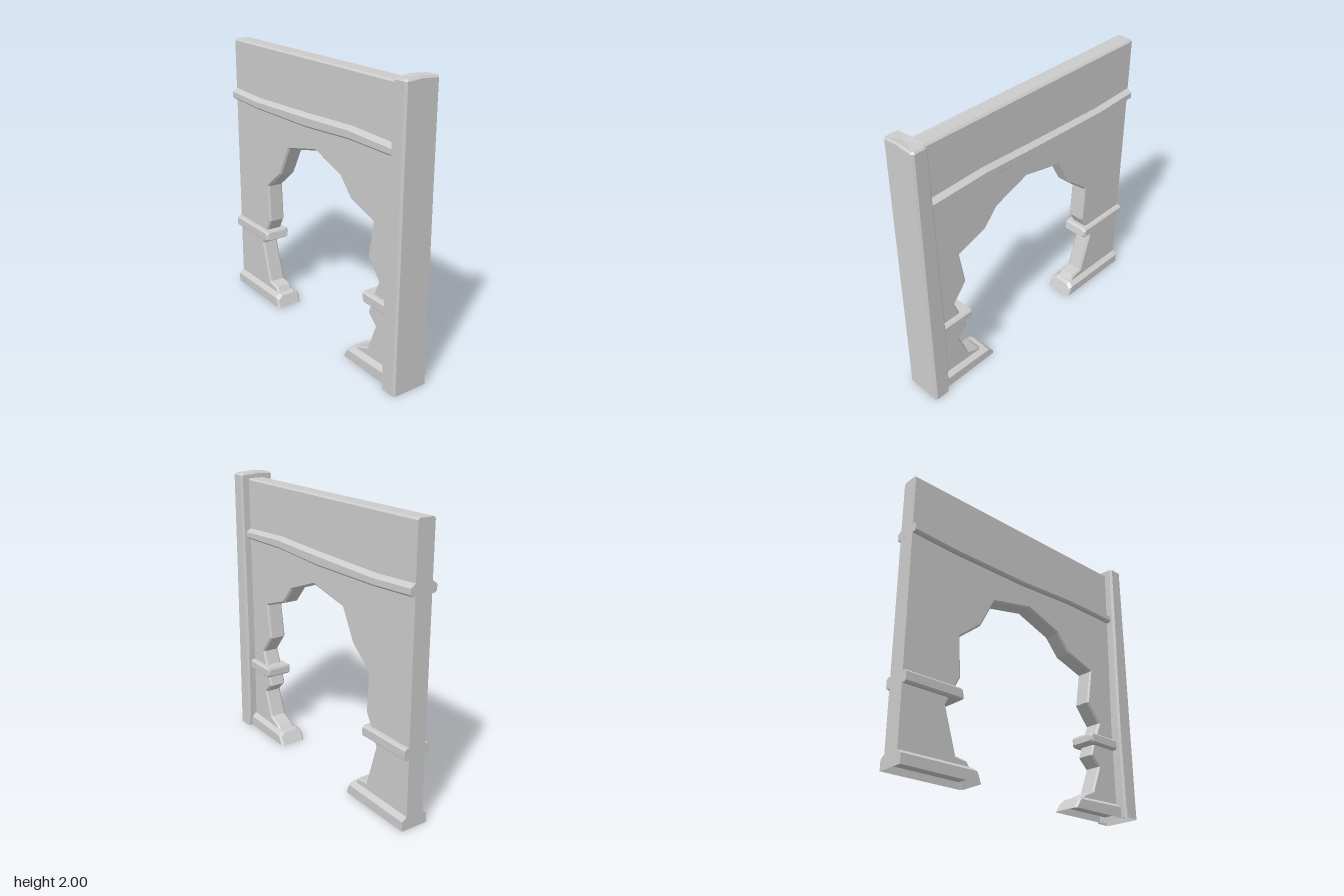
import * as THREE from 'three';

const material = new THREE.MeshStandardMaterial({ color: 0xcccccc, flatShading: true, side: THREE.DoubleSide });

// Skin rings of [x, y, z] points; rings run counter-clockwise seen from the far end
function loft(rings, { capStart = true, capEnd = true, closed = true } = {}) {
  const pos = [];
  const tri = (...pts) => pts.forEach((p) => pos.push(...p));
  const n = rings[0].length;
  for (let i = 0; i < rings.length - 1; i++) {
    for (let j = 0; j < (closed ? n : n - 1); j++) {
      const k = (j + 1) % n;
      const a = rings[i][j], b = rings[i][k], c = rings[i + 1][k], d = rings[i + 1][j];
      tri(a, b, c);
      tri(a, c, d);
    }
  }
  const cap = (ring, flip) => {
    const mid = [0, 1, 2].map((q) => ring.reduce((s, p) => s + p[q], 0) / n);
    ring.forEach((p, j) => {
      const next = ring[(j + 1) % n];
      flip ? tri(mid, next, p) : tri(mid, p, next);
    });
  };
  if (capStart) cap(rings[0], true);
  if (capEnd) cap(rings[rings.length - 1], false);
  const geo = new THREE.BufferGeometry();
  geo.setAttribute('position', new THREE.Float32BufferAttribute(pos, 3));
  geo.computeVertexNormals();
  return geo;
}

// Moulding along x; stations are [xBottom, xTop, yBottom, yTop, inset]
function moulding(stations, { topH, topD, low, open = false }) {
  const rings = stations.map(([xb, xt, yb, yt, inset = 0]) => {
    const zb = -0.105 + inset, zf = 0.092 - inset;
    const profile = [
      [yb + low, zb], [yt - topH, zb], [yt, zb + topD], [yt, zf - topD],
      [yt - topH, zf], [yb + low, zf],
    ];
    if (!open) profile.push([yb, zf - low], [yb, zb + low]);
    return profile.map(([y, z]) => [xb + (xt - xb) * (y - yb) / (yt - yb), y, z]);
  });
  return loft(rings, { closed: !open });
}

// Wall slab with the broken archway cut up from the floor
function wallGeometry() {
  const outline = [
    [-0.99, 0.03], [-0.46, 0.03], [-0.46, 0.09], [-0.49, 0.132], [-0.575, 0.145],
    [-0.665, 0.44], [-0.63, 0.51], [-0.605, 0.565], [-0.56, 0.65], [-0.575, 0.925],
    [-0.41, 1.06], [-0.295, 1.28], [0.03, 1.35], [0.305, 1.25], [0.415, 1.125],
    [0.64, 1.05], [0.6, 0.8], [0.71, 0.665], [0.67, 0.565], [0.645, 0.5],
    [0.615, 0.41], [0.69, 0.34], [0.62, 0.155], [0.53, 0.115], [0.5, 0.09],
    [0.5, 0.03], [0.9, 0.03], [0.9, 1.957], [-0.99, 1.957],
  ];
  const bevel = 0.012;
  const geo = new THREE.ExtrudeGeometry(
    new THREE.Shape(outline.map(([x, y]) => new THREE.Vector2(x, y))),
    { depth: 0.126 - 2 * bevel, bevelThickness: bevel, bevelSize: bevel, bevelOffset: -bevel, bevelSegments: 1 },
  );
  geo.translate(0, 0, -0.07 + bevel);
  // Keep the sawn-off end square
  const p = geo.attributes.position;
  for (let i = 0; i < p.count; i++) if (p.getX(i) < -0.95) p.setX(i, -0.99);
  geo.computeVertexNormals();
  return geo;
}

// Post with chamfered corners; levels are [y, left x, right x, back z, front z, chamfer]
function postGeometry() {
  const levels = [
    [0, 0.863, 0.985, -0.137, 0.135, 0.014],
    [0.1, 0.857, 0.984, -0.136, 0.134, 0.014],
    [0.65, 0.846, 0.981, -0.134, 0.13, 0.014],
    [1.3, 0.855, 0.977, -0.132, 0.126, 0.014],
    [1.98, 0.862, 0.973, -0.132, 0.121, 0.014],
    [1.992, 0.872, 0.963, -0.122, 0.111, 0.012],
  ];
  const rings = levels.map(([y, x0, x1, z0, z1, c]) => [
    [x0, z0 + c], [x0 + c, z0], [x1 - c, z0], [x1, z0 + c],
    [x1, 0], [x1, z1 - c], [x1 - c, z1], [x0 + c, z1], [x0, z1 - c], [x0, 0],
  ].reverse().map(([x, z]) => [x, y + (y > 1.9 && z === 0 ? 0.008 : 0), z]));
  return loft(rings, { capStart: false });
}

export function createModel() {
  const group = new THREE.Group();
  const add = (name, geometry) => {
    const mesh = new THREE.Mesh(geometry, material);
    mesh.name = name;
    group.add(mesh);
  };

  add('wall', wallGeometry());
  add('cornerPost', postGeometry());

  // Gently sagging beam across the wall
  add('beam', moulding([
    [-0.99, -0.99, 1.515, 1.592], [-0.65, -0.65, 1.5, 1.577], [-0.05, -0.05, 1.5, 1.592],
    [0.42, 0.42, 1.526, 1.61], [0.9, 0.9, 1.52, 1.592],
  ], { topH: 0.026, topD: 0.037, low: 0.012 }));

  // Short rails on either side of the opening
  const rail = { topH: 0.013, topD: 0.014, low: 0.01 };
  add('leftRail', moulding([
    [0.59, 0.592, 0.505, 0.55, 0.013], [0.61, 0.6, 0.49, 0.565], [0.9, 0.9, 0.49, 0.565],
  ], rail));
  add('rightRail', moulding([
    [-0.99, -0.99, 0.49, 0.567], [-0.57, -0.575, 0.49, 0.567], [-0.55, -0.562, 0.502, 0.555, 0.013],
  ], rail));

  // Plinths with sloping ends, open underneath
  const plinth = { topH: 0.026, topD: 0.034, low: 0, open: true };
  add('leftPlinth', moulding([
    [0.405, 0.455, 0, 0.078, 0.014], [0.418, 0.475, 0, 0.09], [0.9, 0.9, 0, 0.103],
  ], plinth).translate(0, 0, 0));
  add('rightPlinth', moulding([
    [-0.99, -0.99, 0, 0.092], [-0.413, -0.455, 0, 0.095], [-0.4, -0.43, 0, 0.08, 0.014],
  ], plinth));

  return group;
}
